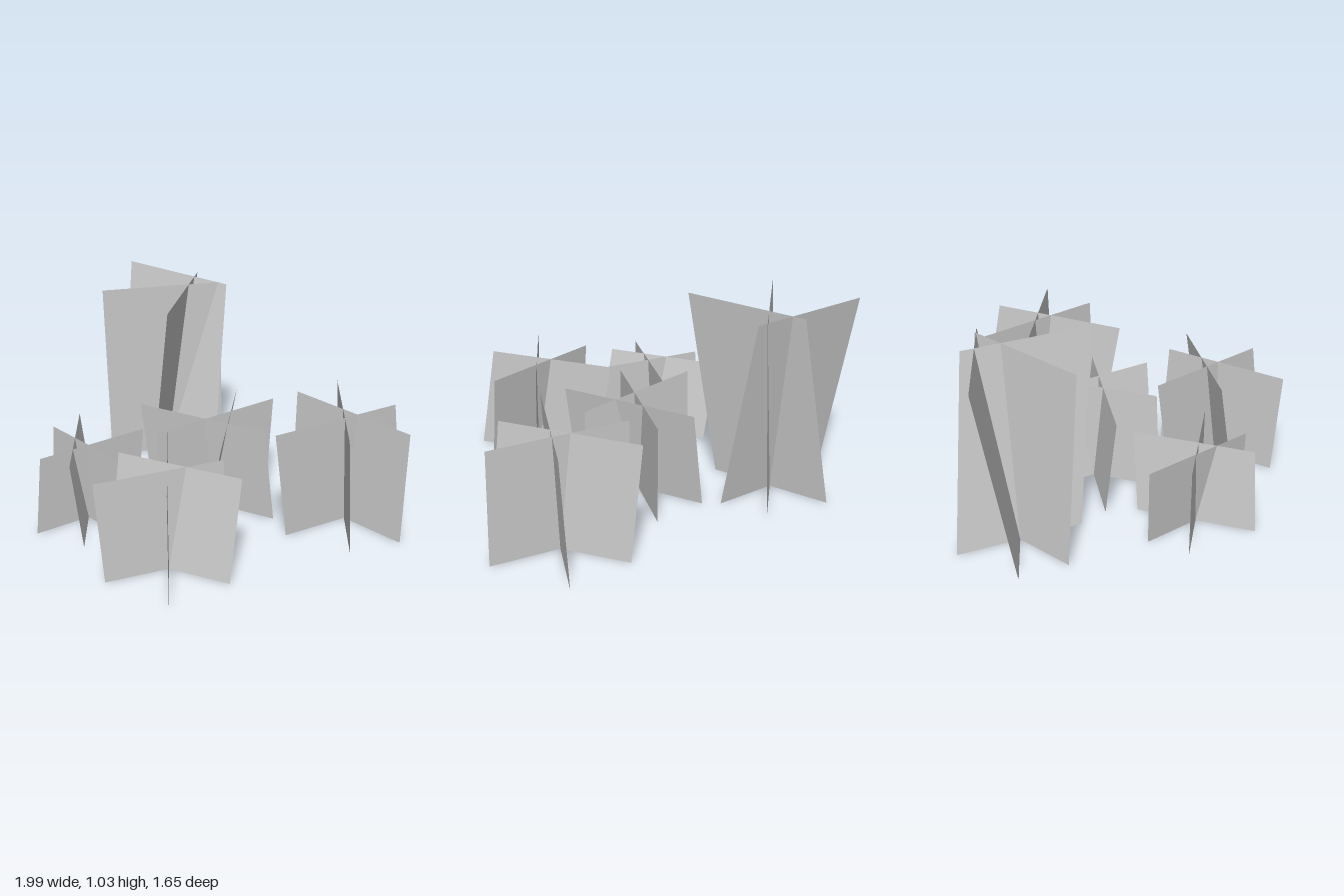
import * as THREE from 'three';

// Each clump: root position, height and three crossed cards.
// A card is [half-width x, half-width z, lean x, lean z].
const CLUMPS = [
  { name: 'tallClump', x: -0.617, z: -0.518, h: 1.03,
    cards: [[0.33, -0.008, -0.05, -0.175], [0.128, 0.302, 0.165, 0.06], [-0.217, 0.243, 0.013, 0.055]] },
  { name: 'middleClump', x: -0.03, z: -0.155, h: 0.53,
    cards: [[0.177, 0.318, 0.088, -0.03], [0.36, -0.06, -0.03, 0.057], [-0.12, 0.345, 0.02, -0.02]] },
  { name: 'backLeftClump', x: 0.627, z: -0.448, h: 0.62,
    cards: [[0.215, 0.294, -0.05, -0.018], [0.15, -0.335, -0.012, 0.105], [0.363, 0.047, 0.005, -0.015]] },
  { name: 'frontRightClump', x: -0.469, z: 0.358, h: 0.443,
    cards: [[0.182, 0.246, -0.075, 0], [0.3, 0.052, 0.037, 0.008], [-0.102, 0.29, 0.033, -0.018]] },
  { name: 'frontClump', x: 0.187, z: 0.505, h: 0.557,
    cards: [[0.323, -0.07, 0.012, -0.075], [-0.175, 0.285, -0.025, 0.037], [0.205, 0.265, -0.053, -0.062]] },
];

// A flat card standing on the ground, its top edge shifted by the lean
function cardGeometry([wx, wz, leanX, leanZ], height) {
  const geometry = new THREE.PlaneGeometry(2, 1);
  const p = geometry.attributes.position;
  for (let i = 0; i < p.count; i++) {
    const side = p.getX(i);
    const up = p.getY(i) + 0.5;
    p.setXYZ(i, side * wx + up * leanX, up * height, side * wz + up * leanZ);
  }
  geometry.computeVertexNormals();
  return geometry;
}

export function createModel() {
  const model = new THREE.Group();
  model.name = 'grassPatch';
  const grey = new THREE.MeshStandardMaterial({ color: 0xcccccc, side: THREE.DoubleSide });
  grey.name = 'light grey';

  for (const { name, x, z, h, cards } of CLUMPS) {
    const clump = new THREE.Group();
    clump.name = name;
    clump.position.set(x, 0, z);
    cards.forEach((card, i) => {
      const mesh = new THREE.Mesh(cardGeometry(card, h), grey);
      mesh.name = `grassCard${i + 1}`;
      clump.add(mesh);
    });
    model.add(clump);
  }
  return model;
}
